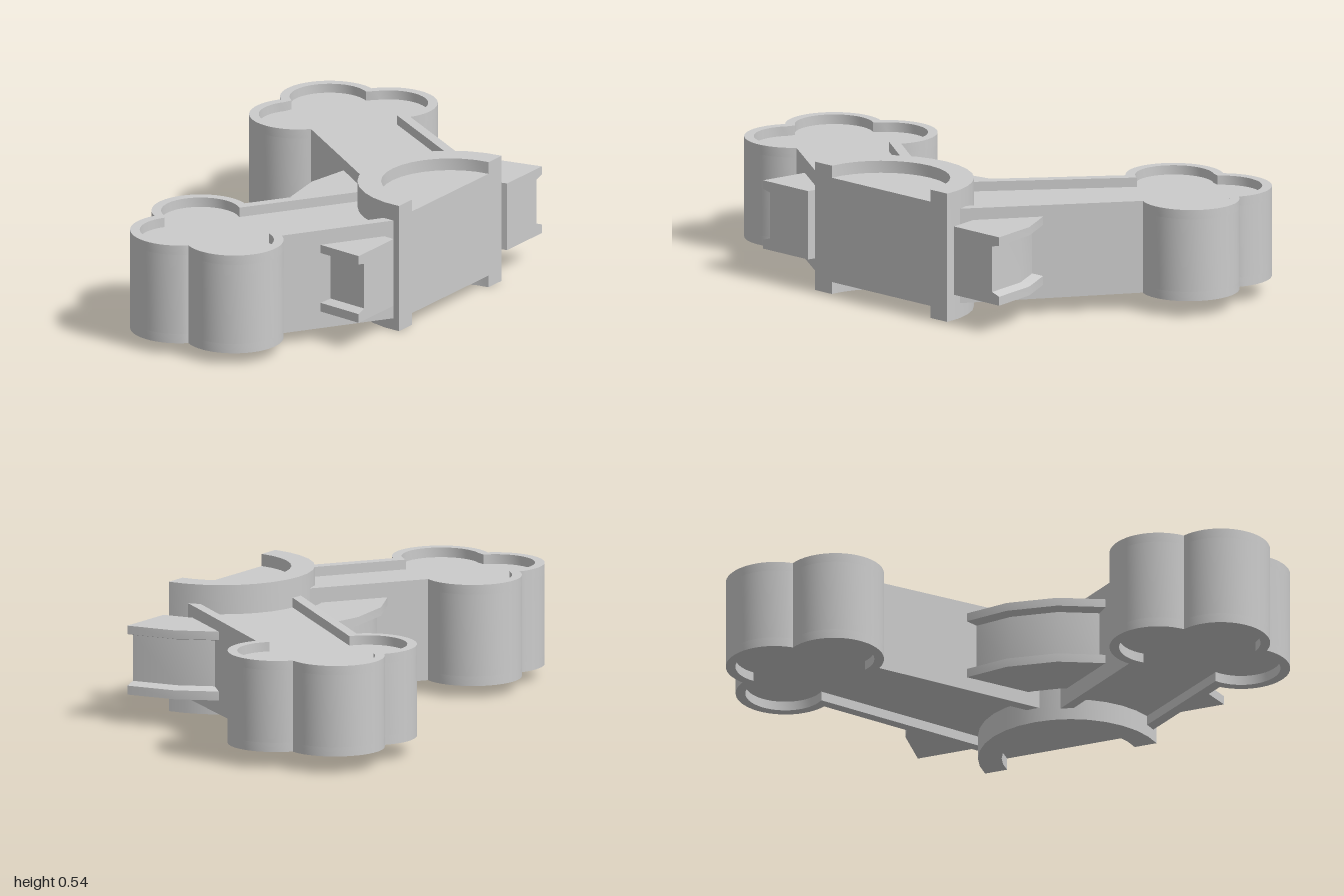
import * as THREE from 'three';
import { toCreasedNormals } from 'three/addons/utils/BufferGeometryUtils.js';

const material = new THREE.MeshStandardMaterial({ color: 0xcccccc });
const ARM_Y = 0.258;

function addMesh(parent, geometry, name, y = 0) {
  const mesh = new THREE.Mesh(toCreasedNormals(geometry, 0.6), material);
  mesh.name = name;
  mesh.position.y = y;
  parent.add(mesh);
}

// Half-turn solid from a closed [radius, y] section, with its cut faces towards +z
function halfTurn(section, segments, name) {
  const group = new THREE.Group();
  group.name = name;
  const points = section.map(([r, y]) => new THREE.Vector2(r, y));
  const loop = [...points, points[0].clone()];
  addMesh(group, new THREE.LatheGeometry(loop, segments, Math.PI / 2, Math.PI), name + 'Body');
  for (const side of [1, -1]) {
    const face = new THREE.Shape(points.map((p) => new THREE.Vector2(side * p.x, p.y)));
    addMesh(group, new THREE.ShapeGeometry(face), name + 'CutFace');
  }
  return group;
}

// Arm plan, counter-clockwise: three round lobes, then a tapering shaft to the hub
function armOutline(Kind, start, left, right, lobeU, r, notch, skew) {
  const s = new Kind();
  const h = Math.PI / 2;
  s.absarc(0.195, lobeU, r, -h + skew, h, false);
  s.absarc(0, lobeU + 0.165, r, notch, Math.PI - notch, false);
  s.absarc(-0.195, lobeU, r, h, 3 * h - skew, false);
  s.lineTo(left, start);
  s.lineTo(right, start);
  s.closePath();
  return s;
}

function makeArm({ name, lobeU, left, right, half, taper }) {
  const group = new THREE.Group();
  group.name = name;
  const rimDepth = 0.04;
  const outline = () => armOutline(THREE.Shape, 0.28, left, right, lobeU, 0.199, 0.2, 0.1);

  // Extrude upward, then thin the height slightly towards the tip
  const slab = (shape, y0, depth, partName) => {
    const g = new THREE.ExtrudeGeometry(shape, { depth, bevelEnabled: false, curveSegments: 12 });
    g.rotateX(-Math.PI / 2).translate(0, y0, 0);
    const p = g.attributes.position;
    for (let i = 0; i < p.count; i++) {
      p.setY(i, p.getY(i) * (1 - taper * (-p.getZ(i) - 0.28) / 1.3));
    }
    addMesh(group, g, partName, ARM_Y);
  };

  slab(outline(), -half + rimDepth, 2 * (half - rimDepth), 'armBody');
  // Raised borders above and below
  for (const [y0, part] of [[half - rimDepth, 'upperRim'], [-half, 'lowerRim']]) {
    const rim = outline();
    rim.holes.push(armOutline(THREE.Path, 0.3, left + 0.045, right - 0.043, lobeU, 0.16, 0.03, -0.15));
    slab(rim, y0, rimDepth, part);
  }
  return group;
}

export function createModel() {
  const model = new THREE.Group();
  model.name = 'crossFragment';
  const cross = new THREE.Group();
  cross.name = 'cross';
  cross.position.set(0.414, 0, 0.6);
  model.add(cross);

  // Half hub with recessed top and bottom, and the half ring around it
  const cut = new THREE.Group();
  cut.name = 'hubAndRing';
  cut.rotation.y = THREE.MathUtils.degToRad(36);
  cut.add(halfTurn([
    [0, 0.05], [0.28, 0.05], [0.28, 0], [0.376, 0],
    [0.376, 0.535], [0.28, 0.535], [0.28, 0.485], [0, 0.485],
  ], 16, 'hub'));
  cut.add(halfTurn([
    [0.415, 0.12], [0.671, 0.12], [0.671, 0.157], [0.631, 0.17],
    [0.631, 0.36], [0.671, 0.37], [0.671, 0.405], [0.415, 0.405],
  ], 10, 'ring'));
  cross.add(cut);

  // Long arm to the back, short arm to the right
  cross.add(makeArm({ name: 'longArm', lobeU: 1.235, left: -0.235, right: 0.245, half: 0.197, taper: 0.05 }));
  const shortArm = makeArm({ name: 'shortArm', lobeU: 1.005, left: -0.195, right: 0.23, half: 0.209, taper: 0 });
  shortArm.rotation.y = Math.PI / 2;
  cross.add(shortArm);

  return model;
}
